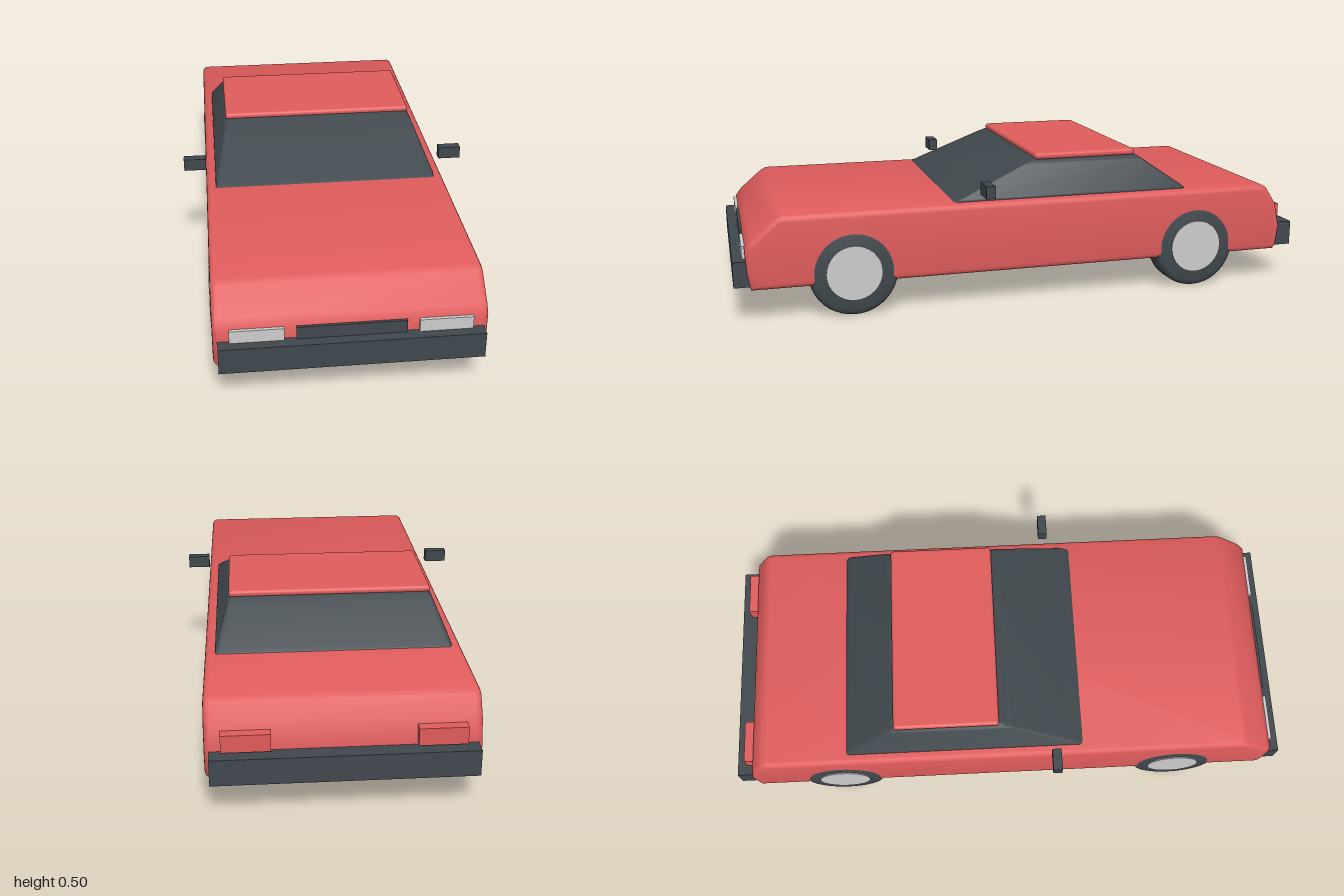
import * as THREE from 'three';
import { toCreasedNormals } from 'three/addons/utils/BufferGeometryUtils.js';
import { RoundedBoxGeometry } from 'three/addons/geometries/RoundedBoxGeometry.js';

export function createModel() {
  const car = new THREE.Group();
  car.name = 'car';
  const material = (name, color) => {
    const m = new THREE.MeshStandardMaterial({ color });
    m.name = name;
    return m;
  };
  const red = material('red paint', 0xe05c5c);
  const dark = material('dark trim', 0x40484d);
  const silver = material('light grey', 0xcccccc);

  const add = (name, geometry, mat, x = 0, y = 0, z = 0) => {
    const mesh = new THREE.Mesh(geometry, mat);
    mesh.name = name;
    mesh.position.set(x, y, z);
    car.add(mesh);
    return mesh;
  };
  // Box given by its limits on each axis
  const box = (name, mat, x0, x1, y0, y1, z0, z1) =>
    add(name, new THREE.BoxGeometry(x1 - x0, y1 - y0, z1 - z0), mat,
      (x0 + x1) / 2, (y0 + y1) / 2, (z0 + z1) / 2);

  // Body: side profile (z, y) extruded across the width with rounded edges
  const profile = [
    [0.945, 0.113], [0.957, 0.17], [0.96, 0.25], [0.94, 0.278], [0.86, 0.347], [0.84, 0.357],
    [-0.87, 0.357], [-0.89, 0.347], [-0.93, 0.285], [-0.95, 0.2], [-0.94, 0.125], [-0.93, 0.113],
  ];
  const shape = new THREE.Shape(profile.map(([z, y]) => new THREE.Vector2(z, y)));
  const bevel = 0.02;
  const body = new THREE.ExtrudeGeometry(shape, {
    depth: 0.84 - 2 * bevel, bevelThickness: bevel, bevelSize: bevel, bevelOffset: -bevel, bevelSegments: 4,
  });
  body.translate(0, 0, -0.42 + bevel);
  body.rotateY(-Math.PI / 2);
  add('body', toCreasedNormals(body, 0.7), red);

  // Cabin: rounded box tapered towards the roof
  const y0 = 0.35, y1 = 0.485;
  const cabin = new RoundedBoxGeometry(1, y1 - y0, 1, 4, 0.02);
  const p = cabin.attributes.position;
  for (let i = 0; i < p.count; i++) {
    const t = p.getY(i) / (y1 - y0) + 0.5;
    const front = THREE.MathUtils.lerp(0.285, -0.03, t);
    const back = THREE.MathUtils.lerp(-0.595, -0.4, t);
    p.setX(i, p.getX(i) * 2 * THREE.MathUtils.lerp(0.393, 0.338, t));
    p.setZ(i, back + (p.getZ(i) + 0.5) * (front - back));
  }
  add('cabin windows', toCreasedNormals(cabin, 0.7), dark, 0, (y0 + y1) / 2);

  add('roof', new RoundedBoxGeometry(0.68, 0.024, 0.368, 4, 0.011), red, 0, 0.49, -0.217);

  // Front and rear trim
  box('frontBumper', dark, -0.405, 0.405, 0.125, 0.211, 0.94, 1);
  box('rearBumper', dark, -0.405, 0.405, 0.125, 0.211, -1, -0.94);
  box('grille', dark, -0.168, 0.168, 0.19, 0.253, 0.945, 0.967);

  // Wheel parts: rounded tyre outline (radius, width) turned on the x axis
  const tyre = new THREE.LatheGeometry([
    [0, -0.05], [0.128, -0.05], [0.138, -0.047], [0.146, -0.04], [0.149, -0.03],
    [0.149, 0.03], [0.146, 0.04], [0.138, 0.047], [0.128, 0.05], [0, 0.05],
  ].map(([r, w]) => new THREE.Vector2(r, w)), 40).rotateZ(-Math.PI / 2);
  const tyreGeometry = toCreasedNormals(tyre, 0.7);
  const hubGeometry = new THREE.CylinderGeometry(0.092, 0.092, 0.09, 32).rotateZ(Math.PI / 2);

  for (const [side, s] of [['left', 1], ['right', -1]]) {
    const pair = (name, mat, a, b, ...rest) =>
      box(`${side} ${name}`, mat, Math.min(s * a, s * b), Math.max(s * a, s * b), ...rest);
    pair('headlight', silver, 0.205, 0.37, 0.195, 0.253, 0.945, 0.969);
    pair('tail light', red, 0.22, 0.37, 0.215, 0.272, -0.965, -0.92);
    pair('mirror', dark, 0.418, 0.495, 0.388, 0.43, 0.15, 0.182);
    for (const [end, z] of [['front', 0.612], ['rear', -0.612]]) {
      add(`${side} ${end} tyre`, tyreGeometry, dark, s * 0.371, 0.15, z);
      add(`${side} ${end} hub`, hubGeometry, silver, s * 0.38, 0.15, z);
    }
  }
  return car;
}
